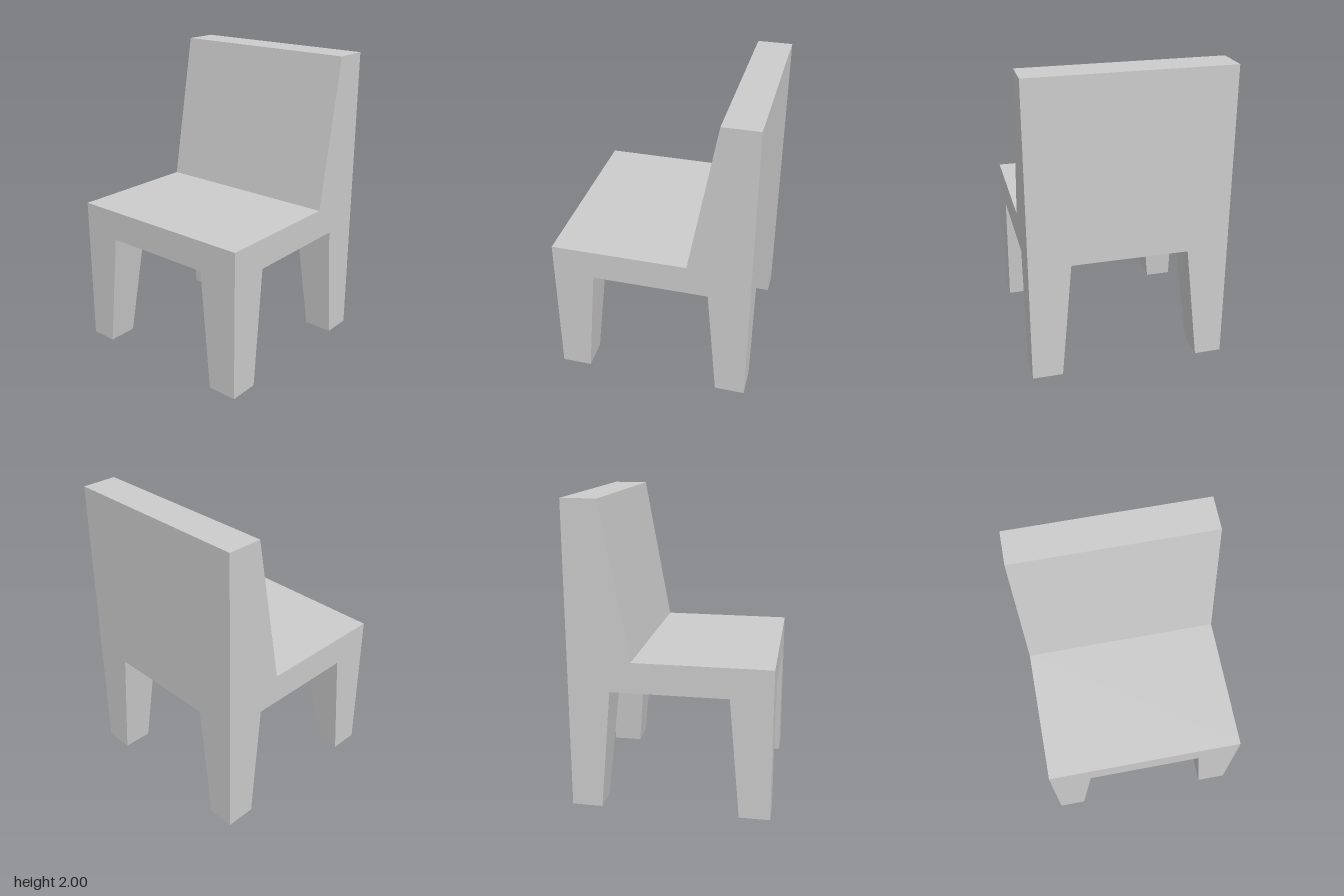
import * as THREE from 'three';

const H = 0.65;                              // half width and half depth
const SEAT = 1, RAIL = 0.8, TOP = 2;         // seat, rail underside and top heights
const KNEE = 0.38;                           // inner leg edge at the rail
const FOOT_X = 0.45;                         // inner leg edge at the floor, along x
const FOOT_Z = { '1': 0.45, '-1': 0.47 };    // the same along z, per side

export function createModel() {
  const chair = new THREE.Group();
  chair.name = 'chair';
  const material = new THREE.MeshStandardMaterial({
    color: 0xcccccc, side: THREE.DoubleSide, flatShading: true,
  });

  const add = (name, geometry, parent = chair) => {
    const mesh = new THREE.Mesh(geometry, material);
    mesh.name = name;
    parent.add(mesh);
    return mesh;
  };

  // Flat four-cornered panel, corners anticlockwise from outside
  const quad = (corners, flip = false) => {
    const g = new THREE.BufferGeometry();
    g.setAttribute('position', new THREE.Float32BufferAttribute(corners.flat(), 3));
    g.setIndex(flip ? [0, 2, 1, 0, 3, 2] : [0, 1, 2, 0, 2, 3]);
    g.computeVertexNormals();
    return g;
  };

  // Wall with a tapered opening between two legs, under any upper outline
  const wall = (footNeg, footPos, upper) => new THREE.ShapeGeometry(new THREE.Shape([
    [-H, 0], [-footNeg, 0], [-KNEE, RAIL], [KNEE, RAIL], [footPos, 0], [H, 0], ...upper,
  ].map(([u, v]) => new THREE.Vector2(u, v))));

  // Side walls with the chair profile
  const profile = [[H, TOP], [0.42, TOP], [0.24, SEAT], [-H, SEAT]];
  const sideGeometry = wall(FOOT_X, FOOT_X, profile);
  add('sideWallA', sideGeometry.clone().translate(0, 0, H));
  const flipped = wall(FOOT_X, FOOT_X, profile);
  flipped.setIndex(Array.from(flipped.index.array).reverse());
  flipped.computeVertexNormals();
  add('sideWallB', flipped.translate(0, 0, -H));

  // Wall behind the backrest and apron under the seat edge
  add('backWall', wall(FOOT_Z['1'], FOOT_Z['-1'], [[H, TOP], [-H, TOP]])
    .rotateY(Math.PI / 2).translate(H, 0, 0));
  add('seatApron', wall(FOOT_Z['-1'], FOOT_Z['1'], [[H, SEAT], [-H, SEAT]])
    .rotateY(-Math.PI / 2).translate(-H, 0, 0));

  // Seat, sloping backrest and top edge across the full width
  const line = [...profile].reverse();
  ['seat', 'backrest', 'backrestTop'].forEach((name, i) => {
    const [a, b] = [line[i], line[i + 1]];
    add(name, quad([[...a, H], [...b, H], [...b, -H], [...a, -H]]));
  });

  // Inner faces of the four hollow, tapered legs
  for (const sx of [-1, 1]) for (const sz of [-1, 1]) {
    const leg = new THREE.Group();
    leg.name = 'leg';
    chair.add(leg);
    const foot = [sx * FOOT_X, 0, sz * FOOT_Z[sz]];
    const knee = [sx * KNEE, RAIL, sz * KNEE];
    add('legInnerFaceX', quad(
      [[foot[0], 0, sz * H], foot, knee, [knee[0], RAIL, sz * H]], sx * sz > 0), leg);
    add('legInnerFaceZ', quad(
      [[sx * H, 0, foot[2]], foot, knee, [sx * H, RAIL, knee[2]]], sx * sz < 0), leg);
  }
  return chair;
}
